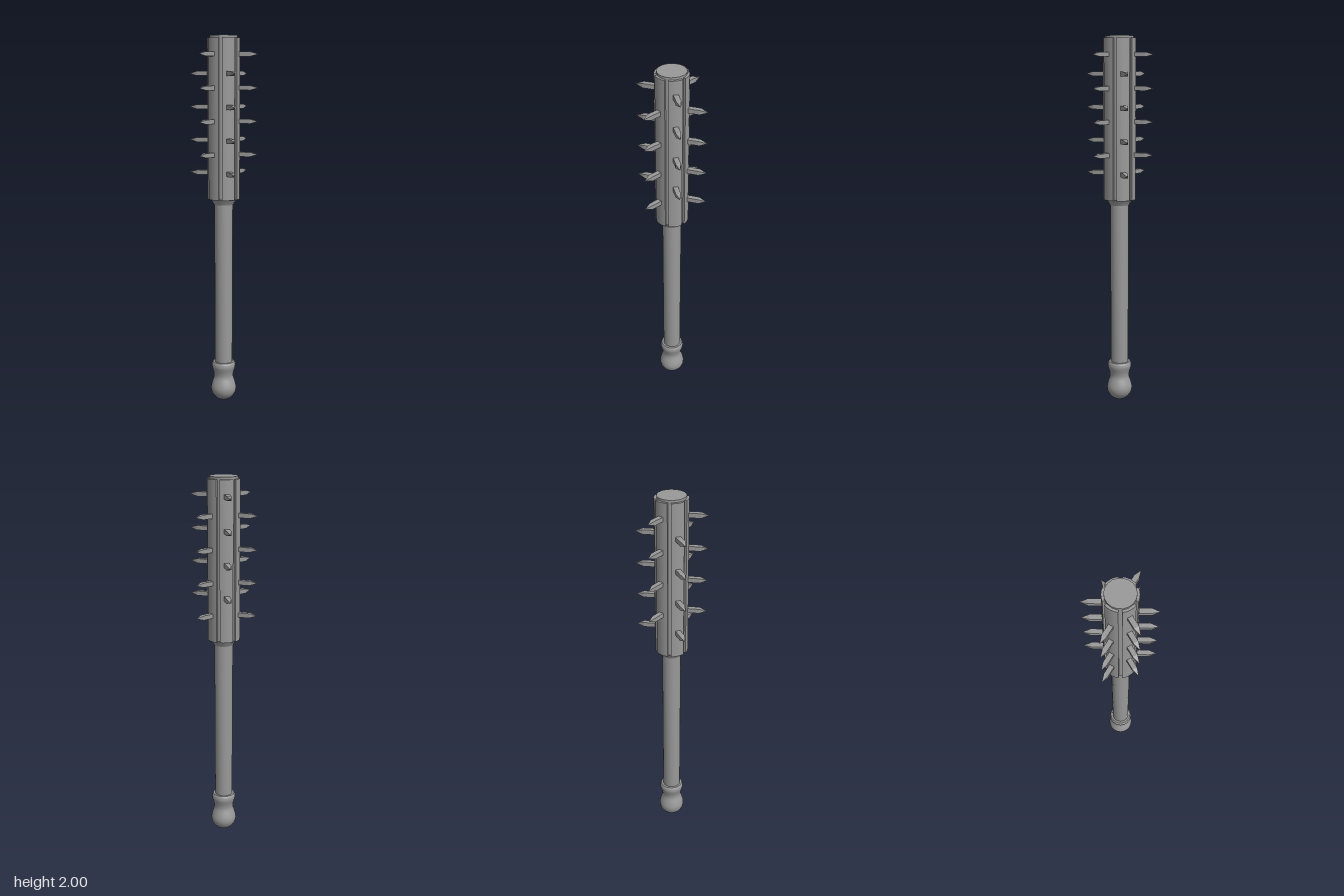
import * as THREE from 'three';
import { toCreasedNormals } from 'three/addons/utils/BufferGeometryUtils.js';

const material = new THREE.MeshStandardMaterial({ color: 0x999999 });

function addMesh(parent, name, geometry) {
  const mesh = new THREE.Mesh(geometry, material);
  mesh.name = name;
  parent.add(mesh);
  return mesh;
}

// Turned part from [radius, height] pairs, with sharp rims kept
function turned(profile, sides) {
  const points = profile.map(([r, y]) => new THREE.Vector2(r, y));
  return toCreasedNormals(new THREE.LatheGeometry(points, sides), 0.6);
}

// Curved plate hugging the head, facing +z and standing on y = 0
function plateGeometry(inner, outer, halfAngle, height) {
  const steps = 4;
  const points = [];
  const arc = (r, from, to) => {
    for (let i = 0; i <= steps; i++) {
      const a = from + ((to - from) * i) / steps;
      points.push(new THREE.Vector2(Math.sin(a) * r, -Math.cos(a) * r));
    }
  };
  arc(outer, -halfAngle, halfAngle);
  arc(inner, halfAngle, -halfAngle);
  const geometry = new THREE.ExtrudeGeometry(new THREE.Shape(points), { depth: height, bevelEnabled: false });
  geometry.rotateX(-Math.PI / 2);
  return toCreasedNormals(geometry, 0.5);
}

// Square bar with a pyramid point, running along +z
function spikeGeometry(start, shoulder, tip, width, height) {
  const profile = [[0, start], [Math.SQRT1_2, start], [Math.SQRT1_2, shoulder], [0, tip]];
  const geometry = new THREE.LatheGeometry(profile.map(([r, y]) => new THREE.Vector2(r, y)), 4);
  geometry.rotateY(Math.PI / 4);
  geometry.rotateX(Math.PI / 2);
  geometry.scale(width, height, 1);
  return toCreasedNormals(geometry, 0.2);
}

export function createModel() {
  const model = new THREE.Group();
  model.name = 'spikedClub';

  // Rounded pommel with a waist and a collar
  const outline = new THREE.SplineCurve([
    [0.012, 0.003], [0.038, 0.013], [0.062, 0.04], [0.07, 0.072], [0.063, 0.105],
    [0.053, 0.137], [0.056, 0.165], [0.064, 0.19], [0.065, 0.21], [0.059, 0.223],
  ].map(([r, y]) => new THREE.Vector2(r, y)));
  const pommel = outline.getPoints(27).map((p) => [p.x, p.y]);
  addMesh(model, 'pommel', turned([[0, 0], ...pommel, [0.04, 0.223]], 24));

  // Slim grip, slightly narrower near the pommel
  addMesh(model, 'handle', turned([[0.048, 0.2], [0.05, 1.13]], 20));

  // Head core with a flared underside
  addMesh(model, 'headCore', turned([
    [0.04, 1.105], [0.054, 1.105], [0.058, 1.115], [0.076, 1.14], [0.075, 2], [0, 2],
  ], 18));

  // Six plates, each with a column of spikes; columns alternate in height
  const plate = plateGeometry(0.07, 0.087, 0.42, 0.852);
  const spike = spikeGeometry(0.06, 0.145, 0.187, 0.026, 0.024);
  for (let i = 0; i < 6; i++) {
    const side = new THREE.Group();
    side.name = 'headSide';
    side.rotation.y = (i * Math.PI) / 3;
    addMesh(side, 'plate', plate).position.y = 1.136;
    const lowest = i % 2 ? 1.378 : 1.278;
    for (let j = 0; j < 4; j++) {
      addMesh(side, 'spike', spike).position.y = lowest + j * 0.175;
    }
    model.add(side);
  }
  return model;
}
